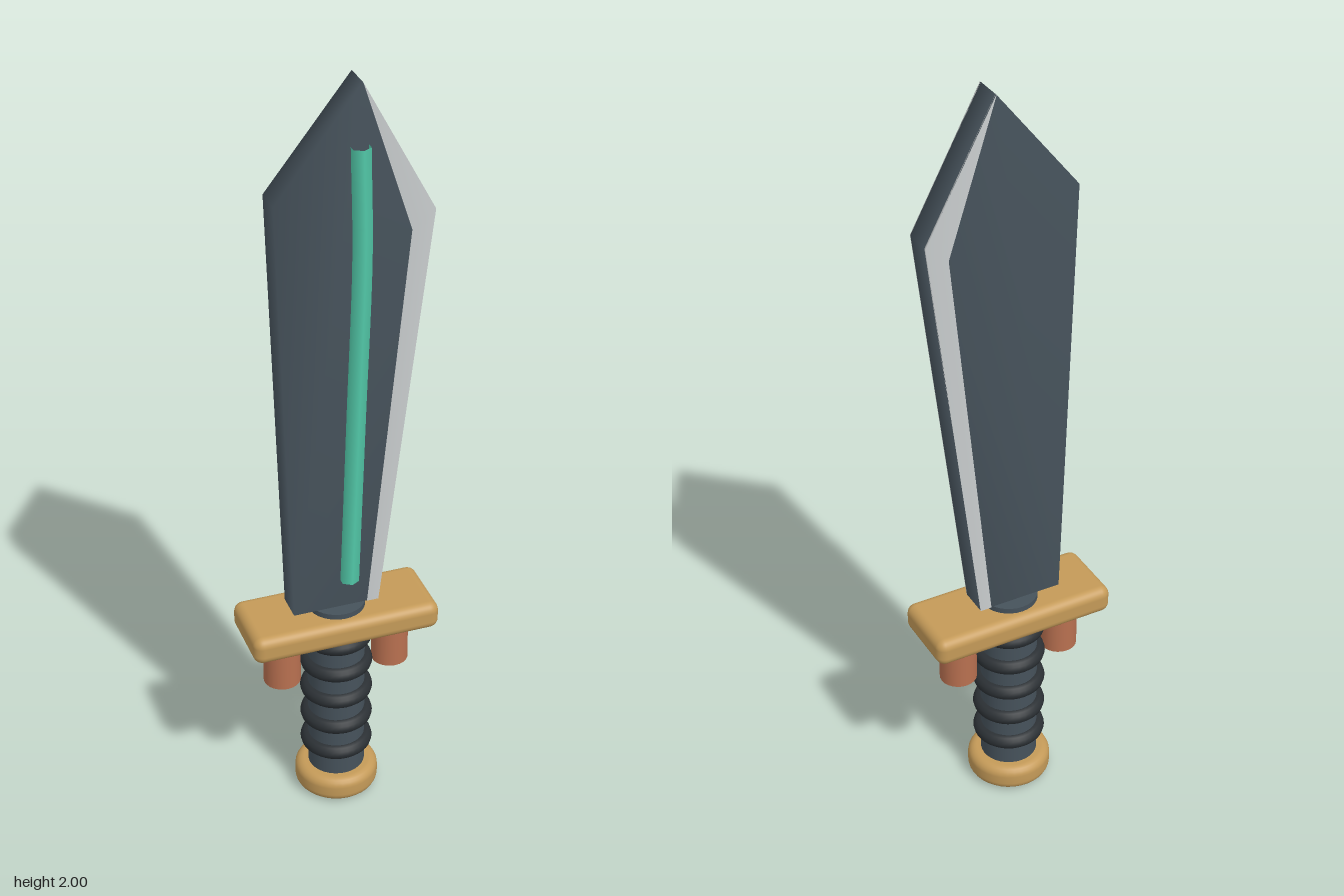
import * as THREE from 'three';
import { mergeVertices } from 'three/addons/utils/BufferGeometryUtils.js';
import { RoundedBoxGeometry } from 'three/addons/geometries/RoundedBoxGeometry.js';

const mat = (color) => new THREE.MeshStandardMaterial({ color });
const steel = mat(0x46525b);
const silver = mat(0xc8cccd);
const rubber = mat(0x2b3034);
const brass = mat(0xc49a58);
const copper = mat(0xb87050);
const teal = mat(0x52c8a8);
teal.side = THREE.DoubleSide;

// Flat outline extruded from z0 to z1, with normals softened across its edges
function plate(points, z0, z1) {
  const shape = new THREE.Shape(points.map(([x, y]) => new THREE.Vector2(x, y)));
  const geo = new THREE.ExtrudeGeometry(shape, { depth: z1 - z0, bevelEnabled: false });
  geo.translate(0, 0, z0);
  geo.deleteAttribute('normal');
  geo.deleteAttribute('uv');
  const soft = mergeVertices(geo, 1e-4);
  soft.computeVertexNormals();
  return soft;
}

export function createModel() {
  const group = new THREE.Group();
  const add = (name, geo, material, x = 0, y = 0, z = 0) => {
    const mesh = new THREE.Mesh(geo, material);
    mesh.name = name;
    mesh.position.set(x, y, z);
    group.add(mesh);
    return mesh;
  };

  // Blade: asymmetric pointed slab
  const tip = [0.05, 2], shoulder = [0.23, 1.665], heel = [0.1, 0.59];
  add('blade', plate([[-0.125, 0.59], heel, shoulder, tip, [-0.163, 1.73]], -0.037, 0.037), steel);

  // Sharpened edge: a bright strip on each face of the blade
  const strip = [[0.07, 0.59], heel, shoulder, tip, [0.173, 1.62]];
  add('edgeFront', plate(strip, 0.033, 0.039), silver);
  add('edgeBack', plate(strip, -0.039, -0.033), silver);

  // Glowing line along the front face
  const line = new THREE.CatmullRomCurve3([
    new THREE.Vector3(0.02, 0.67, 0.042),
    new THREE.Vector3(0.035, 1.15, 0.042),
    new THREE.Vector3(0.048, 1.58, 0.042),
    new THREE.Vector3(0.043, 1.85, 0.042),
  ]);
  add('bladeLine', new THREE.TubeGeometry(line, 24, 0.025, 6), teal);

  // Guard with two pegs below it
  add('guard', new RoundedBoxGeometry(0.495, 0.075, 0.2, 4, 0.025), brass, 0, 0.538);
  for (const side of [-1, 1]) {
    add(side > 0 ? 'leftPeg' : 'rightPeg',
      new THREE.CylinderGeometry(0.048, 0.048, 0.14, 24), copper, side * 0.147, 0.44);
  }

  // Grip with raised rings
  add('grip', new THREE.CylinderGeometry(0.074, 0.074, 0.54, 32), steel, 0, 0.32);
  for (let i = 0; i < 5; i++) {
    const ring = add('gripRing', new THREE.TorusGeometry(0.074, 0.02, 12, 36), rubber, 0, 0.145 + i * 0.085);
    ring.rotation.x = Math.PI / 2;
  }

  // Pommel: disc with rounded rims
  const profile = [new THREE.Vector2(0, 0)];
  const r = 0.024, h = 0.07;
  for (const [cy, start] of [[r, -Math.PI / 2], [h - r, 0]]) {
    for (let i = 0; i <= 5; i++) {
      const a = start + (i / 5) * Math.PI / 2;
      profile.push(new THREE.Vector2(0.109 - r + r * Math.cos(a), cy + r * Math.sin(a)));
    }
  }
  profile.push(new THREE.Vector2(0, h));
  add('pommel', new THREE.LatheGeometry(profile, 36), brass);

  return group;
}
